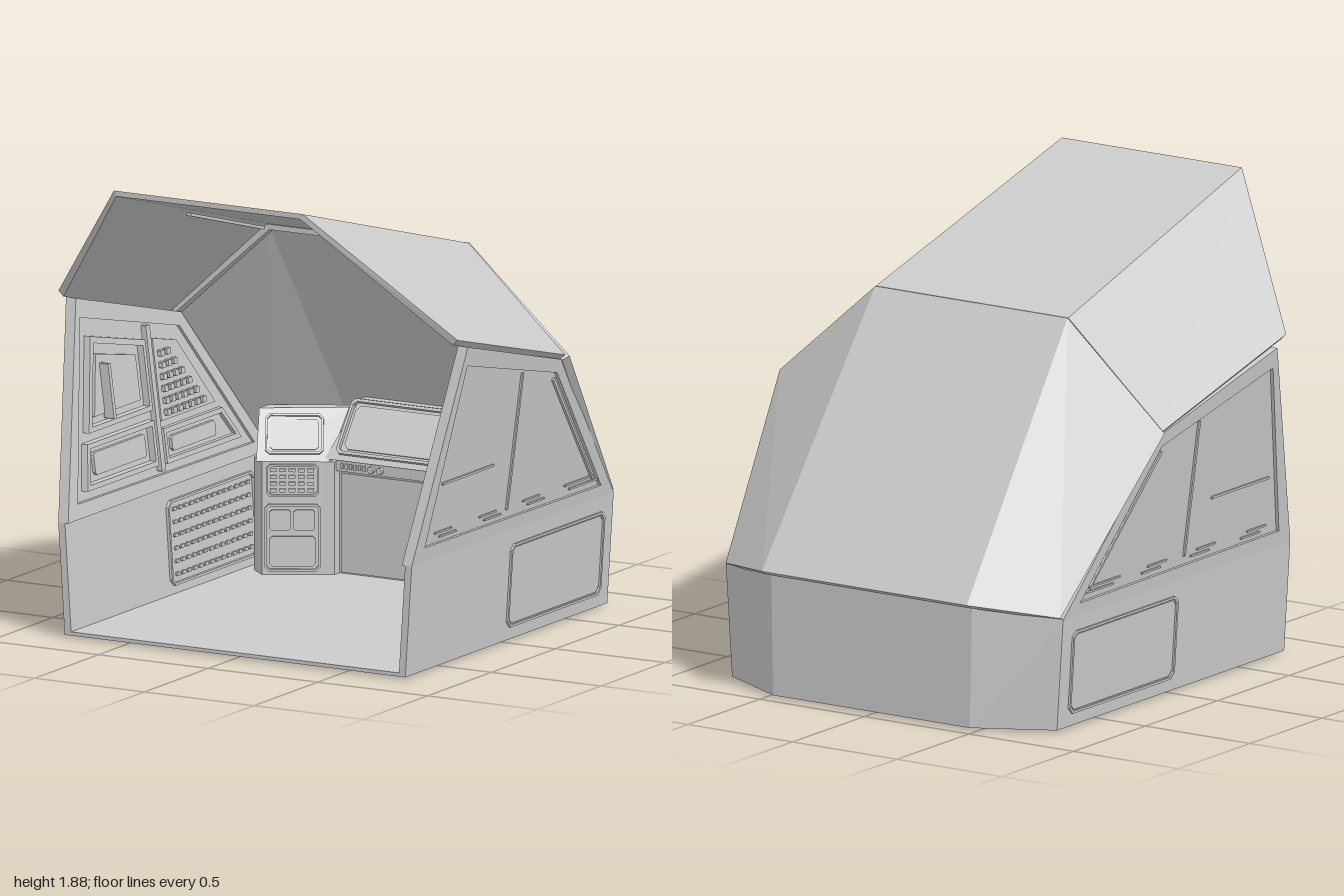
import * as THREE from 'three';

const mat = new THREE.MeshStandardMaterial({ color: 0xcccccc, flatShading: true });
const matDouble = new THREE.MeshStandardMaterial({ color: 0xcccccc, flatShading: true, side: THREE.DoubleSide });
const V = (p) => new THREE.Vector3(...p);

// outline with cut corners
function cutRect(cx, cy, w, h, c = 0.012) {
  const x = w / 2, y = h / 2;
  return [[-x + c, -y], [x - c, -y], [x, -y + c], [x, y - c], [x - c, y], [-x + c, y], [-x, y - c], [-x, -y + c]]
    .map(([a, b]) => [cx + a, cy + b]);
}

function extrude(points, depth, hole) {
  const shape = new THREE.Shape(points.map((p) => new THREE.Vector2(...p)));
  if (hole) shape.holes.push(new THREE.Path(hole.map((p) => new THREE.Vector2(...p))));
  return new THREE.ExtrudeGeometry(shape, { depth, bevelEnabled: false });
}

function add(parent, name, geometry, material = mat) {
  const mesh = new THREE.Mesh(geometry, material);
  mesh.name = name;
  parent.add(mesh);
  return mesh;
}

// solid from a list of quads / polygons
function polys(faces) {
  const out = [];
  for (const f of faces)
    for (let i = 1; i < f.length - 1; i++) out.push(...f[0], ...f[i], ...f[i + 1]);
  const g = new THREE.BufferGeometry();
  g.setAttribute('position', new THREE.Float32BufferAttribute(out, 3));
  g.computeVertexNormals();
  return g;
}

// thick bent sheet between two edge lines, with an inner skin made by a rule
function shell(rowA, rowB, inner) {
  const a = rowA.map((p) => inner(...p)), b = rowB.map((p) => inner(...p));
  const n = rowA.length - 1, faces = [];
  for (let i = 0; i < n; i++) {
    faces.push([rowA[i], rowA[i + 1], rowB[i + 1], rowB[i]], [a[i], b[i], b[i + 1], a[i + 1]]);
    faces.push([rowA[i], a[i], a[i + 1], rowA[i + 1]], [rowB[i], rowB[i + 1], b[i + 1], b[i]]);
  }
  for (const i of [0, n]) faces.push([rowA[i], rowB[i], b[i], a[i]]);
  return polys(faces);
}

// half row of points (outer to inner) mirrored to a full row
const row = (...half) => [...half, ...half.slice().reverse().map(([x, y, z]) => [-x, y, z])];

// block between two plan outlines at different heights
function loft(bottom, top, y0, y1, side) {
  const lo = bottom.map(([x, z]) => [x * side, y0, z]), hi = top.map(([x, z]) => [x * side, y1, z]);
  const faces = [lo, hi.slice().reverse()];
  lo.forEach((p, i) => {
    const j = (i + 1) % lo.length;
    faces.push([p, hi[i], hi[j], lo[j]]);
  });
  return polys(faces);
}

// side walls lean outward, more strongly above the sill
const wallX = (y) => (y < 0.4601 ? 0.776 + 0.065 * y : 0.806 + 0.13 * (y - 0.46));

// panel lying in a side wall: outline in (z, y), d measured outward
function wallPart(parent, side, name, points, d0, d1, hole) {
  let g = extrude(points, d1 - d0, hole);
  if (g.index) g = g.toNonIndexed();
  const p = g.attributes.position, pts = [];
  for (let i = 0; i < p.count; i++)
    pts.push([side * (wallX(p.getY(i)) + d0 + p.getZ(i)), p.getY(i), p.getX(i)]);
  const faces = [];
  for (let i = 0; i < pts.length; i += 3)
    faces.push(side > 0 ? [pts[i], pts[i + 2], pts[i + 1]] : [pts[i], pts[i + 1], pts[i + 2]]);
  return add(parent, name, polys(faces));
}

// group whose local xy plane lies on a face: a to b is x, c lies above
function faceGroup(parent, name, a, b, c) {
  const x = V(b).sub(V(a)).normalize();
  const z = x.clone().cross(V(c).sub(V(a))).normalize();
  const g = new THREE.Group();
  g.name = name;
  g.applyMatrix4(new THREE.Matrix4().makeBasis(x, z.clone().cross(x), z).setPosition(V(a)));
  parent.add(g);
  return g;
}
const plate = (g, name, x, y, w, h, d, c = 0.01) => add(g, name, extrude(cutRect(x, y, w, h, c), d));
const frame = (g, name, x, y, w, h, d, t = 0.008) =>
  add(g, name, extrude(cutRect(x, y, w, h, 0.016), d, cutRect(x, y, w - 2 * t, h - 2 * t, 0.013)));
function buttons(g, x, y, nx, ny, sx, sy, w, h) {
  for (let i = 0; i < nx; i++)
    for (let j = 0; j < ny; j++) plate(g, 'button', x + i * sx, y + j * sy, w, h, 0.008, 0.001);
}

function buildWall(root, side) {
  const wall = new THREE.Group();
  wall.name = side > 0 ? 'leftWall' : 'rightWall';
  root.add(wall);
  const part = (...a) => wallPart(wall, side, ...a);
  const box = (z, y, w, h, c = 0.002) => cutRect(z, y, w, h, c);
  part('lowerWall', [[0.79, 0.01], [0.79, 0.46], [-0.79, 0.46], [-0.79, 0.01]], -0.03, 0);
  const hole = [[0.7, 0.52], [0.525, 1.23], [-0.215, 1.06], [-0.68, 0.51]];
  part('windowFrame', [[0.79, 0.46], [0.54, 1.31], [-0.24, 1.11], [-0.79, 0.46]], -0.045, 0, hole);
  part('windowPanel', hole, -0.032, -0.014);
  // trim inside the window opening, outer face
  part('windowBar', box(0.05, 0.83, 0.012, 0.56), -0.014, -0.006);
  part('windowRail', box(0.4, 0.76, 0.4, 0.01), -0.014, -0.006);
  part('slantTrim', [[-0.21, 1.04], [-0.2, 1.03], [-0.62, 0.54], [-0.63, 0.54]], -0.014, -0.004);
  for (const [z, w] of [[0.55, 0.13], [0.2, 0.13], [-0.14, 0.13], [-0.51, 0.22]])
    for (const k of [0, 1]) part('sillStrip', box(z - k * 0.04, 0.56 - k * 0.02, w, 0.008), -0.014, -0.006);
  // access panel, outside and inside
  part('accessPanel', box(-0.355, 0.23, 0.7, 0.31, 0.02), 0, 0.004);
  part('accessFrame', box(-0.355, 0.23, 0.73, 0.34, 0.025), 0, 0.009, box(-0.355, 0.23, 0.71, 0.32, 0.02));
  part('innerAccessFrame', box(-0.33, 0.23, 0.68, 0.34, 0.025), -0.042, -0.03, box(-0.33, 0.23, 0.66, 0.32, 0.02));
  for (let i = 0; i < 14; i++)
    for (let j = 0; j < 6; j++) part('grilleSlat', box(-0.05 - i * 0.044, 0.1 + j * 0.052, 0.026, 0.014), -0.038, -0.03);
  // inner window equipment
  part('innerBar', box(0.04, 0.82, 0.03, 0.58), -0.055, -0.032);
  const upper = [[0.58, 0.78], [0.49, 1.15], [0.08, 1.06], [0.08, 0.78]];
  part('upperScreenFrame', upper, -0.06, -0.032, [[0.55, 0.8], [0.47, 1.12], [0.1, 1.04], [0.1, 0.8]]);
  part('upperScreen', [[0.5, 0.83], [0.44, 1.07], [0.14, 1.01], [0.14, 0.83]], -0.045, -0.032);
  part('handle', box(0.41, 0.92, 0.02, 0.22), -0.085, -0.04);
  part('lowerScreenFrame', [[0.64, 0.56], [0.6, 0.74], [0.08, 0.74], [0.08, 0.56]], -0.06, -0.032,
    [[0.61, 0.58], [0.58, 0.72], [0.1, 0.72], [0.1, 0.58]]);
  part('lowerScreen', box(0.34, 0.65, 0.4, 0.09, 0.01), -0.045, -0.032);
  part('controlBoard', [[0, 0.72], [0, 1.05], [-0.18, 1.01], [-0.42, 0.72]], -0.045, -0.032);
  for (let j = 0; j < 6; j++)
    for (let i = 0; i < 7 - j; i++) part('wallSwitch', box(-0.04 - i * 0.046, 0.75 + j * 0.047, 0.028, 0.024), -0.062, -0.045);
  part('controlSill', [[0, 0.55], [0, 0.69], [-0.46, 0.69], [-0.58, 0.55]], -0.05, -0.032,
    [[-0.02, 0.57], [-0.02, 0.67], [-0.45, 0.67], [-0.54, 0.57]]);
  part('sillScreen', box(-0.23, 0.62, 0.34, 0.06, 0.01), -0.045, -0.032);
}

function buildConsole(root) {
  const con = new THREE.Group();
  con.name = 'console';
  root.add(con);
  // centre section
  add(con, 'centreBody', loft([[-0.4, -0.68], [0.4, -0.68], [0.4, -0.86], [-0.4, -0.86]],
    [[-0.4, -0.68], [0.4, -0.68], [0.4, -0.86], [-0.4, -0.86]], 0.02, 0.49, 1), matDouble);
  add(con, 'centreDesk', loft([[-0.42, -0.63], [0.42, -0.63], [0.42, -0.9], [-0.42, -0.9]],
    [[-0.35, -0.79], [0.35, -0.79], [0.35, -0.83], [-0.35, -0.83]], 0.49, 0.71, 1), matDouble);
  const front = faceGroup(con, 'centreFront', [-0.38, 0.02, -0.68], [0.38, 0.02, -0.68], [-0.38, 0.4, -0.68]);
  plate(front, 'kickPanel', 0.38, 0.21, 0.74, 0.4, 0.006, 0.002);
  plate(front, 'buttonStrip', 0.38, 0.445, 0.76, 0.045, 0.03, 0.002);
  for (let i = 0; i < 6; i++) plate(front, 'button', 0.03 + i * 0.02, 0.445, 0.012, 0.022, 0.036, 0.002);
  for (const x of [0.165, 0.205])
    add(front, 'knob', new THREE.CylinderGeometry(0.014, 0.014, 0.02, 12).rotateX(Math.PI / 2)).position.set(x, 0.445, 0.035);
  const desk = faceGroup(con, 'centreScreen', [-0.42, 0.49, -0.63], [0.42, 0.49, -0.63], [-0.35, 0.71, -0.79]);
  frame(desk, 'screenFrame', 0.42, 0.145, 0.75, 0.24, 0.016, 0.012);
  plate(desk, 'screen', 0.42, 0.145, 0.7, 0.19, 0.006, 0.02);

  // angled pods at both ends
  for (const s of [1, -1]) {
    const plan = [[0.63, -0.5], [0.42, -0.62], [0.38, -0.64], [0.38, -0.86], [0.7, -0.77], [0.7, -0.56]];
    add(con, 'podBody', loft(plan, plan, 0.02, 0.48, s), matDouble);
    add(con, 'podDesk', loft([[0.65, -0.49], [0.4, -0.63], [0.4, -0.89], [0.71, -0.77]],
      [[0.7, -0.6], [0.4, -0.79], [0.4, -0.84], [0.7, -0.67]], 0.48, 0.67, s), matDouble);
    const span = (a, b) => (s > 0 ? [a, b] : [b, a].map(([x, y, z]) => [-x, y, z]));
    const [a, b] = span([0.42, 0.02, -0.62], [0.63, 0.02, -0.5]);
    const pod = faceGroup(con, 'podFront', a, b, [a[0], 0.4, a[2]]);
    frame(pod, 'switchFrame', 0.121, 0.385, 0.21, 0.13, 0.012);
    buttons(pod, 0.045, 0.345, 5, 4, 0.037, 0.027, 0.026, 0.014);
    frame(pod, 'drawerFrame', 0.121, 0.155, 0.22, 0.27, 0.012);
    for (const x of [0.073, 0.168]) plate(pod, 'smallDrawer', x, 0.225, 0.085, 0.085, 0.012);
    plate(pod, 'largeDrawer', 0.121, 0.1, 0.18, 0.12, 0.012);
    const [c, d] = span([0.4, 0.48, -0.63], [0.65, 0.48, -0.49]);
    const top = faceGroup(con, 'podScreen', c, d, [s * 0.55, 0.67, -0.695]);
    frame(top, 'podScreenFrame', 0.15, 0.115, 0.23, 0.17, 0.012);
    plate(top, 'podScreenPlate', 0.15, 0.115, 0.19, 0.13, 0.005);
  }
}

export function createModel() {
  const root = new THREE.Group();
  root.name = 'cockpit';

  // floor and rear lower wall
  const floorPlan = [[0.776, 0.79], [0.776, -0.79], [0.47, -0.95], [-0.47, -0.95], [-0.776, -0.79], [-0.776, 0.79]];
  add(root, 'floor', loft(floorPlan, floorPlan, 0.01, 0.025, 1), matDouble);
  add(root, 'rearLowerWall', shell(row([0.776, 0.01, -0.79], [0.47, 0.01, -0.95]),
    row([0.806, 0.465, -0.79], [0.48, 0.51, -0.95]), (x, y, z) => [x * 0.965, y, z + 0.03]), matDouble);

  // shallow ridges under the floor
  for (const s of [1, -1]) {
    const ridge = add(root, 'underfloorRidge', new THREE.BoxGeometry(0.3, 0.01, 0.012));
    ridge.position.set(s * 0.56, 0.005, -0.72);
    ridge.rotation.y = s * -0.48;
    add(root, 'underfloorStrip', new THREE.BoxGeometry(0.012, 0.01, 0.2)).position.set(s * 0.69, 0.005, -0.58);
  }

  // folded roof: rear canopy, forward hood and the rib where they meet
  const thin = (x, y, z) => [x * 0.975, y - 0.022, z];
  add(root, 'rearCanopy', shell(row([0.92, 1.125, -0.25], [0.46, 1.53, -0.255]),
    row([0.8, 0.47, -0.8], [0.49, 0.52, -1]), (x, y, z) => [x * 0.975, y - 0.015, z + 0.02]), matDouble);
  add(root, 'hood', shell(row([0.91, 1.35, 0.61], [0.43, 1.88, 1]),
    row([0.905, 1.13, -0.24], [0.46, 1.53, -0.25]), thin), matDouble);
  add(root, 'roofRib', shell(row([0.885, 1.13, -0.22], [0.45, 1.51, -0.23]),
    row([0.885, 1.12, -0.26], [0.45, 1.505, -0.27]), thin), matDouble);
  for (const s of [1, -1])
    add(root, 'hoodBracket', new THREE.BoxGeometry(0.02, 0.012, 0.6)).position.set(s * 0.445, 1.585, 0.1).y += 0;
  root.traverse((o) => { if (o.name === 'hoodBracket') o.rotation.x = -0.276; });

  for (const s of [1, -1]) buildWall(root, s);
  buildConsole(root);
  return root;
}
